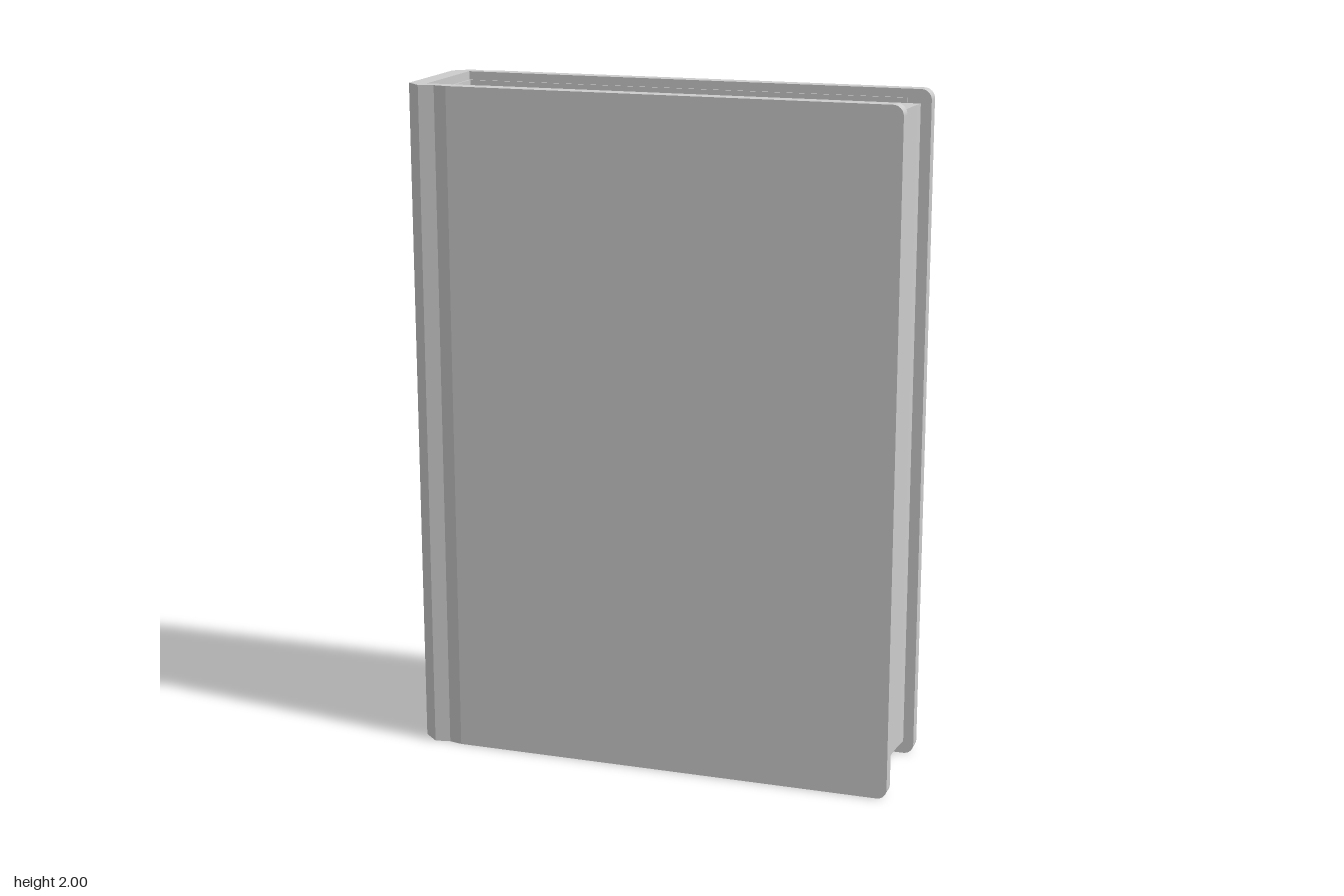
import * as THREE from 'three';

const coverGrey = new THREE.MeshStandardMaterial({ color: 0xcccccc });
coverGrey.name = 'plainGrey';

// Extrudes an outline drawn in the x-z plane upward from y0 to y1
function upright(name, shape, y0, y1) {
  const geo = new THREE.ExtrudeGeometry(shape, { depth: y1 - y0, bevelEnabled: false, curveSegments: 10 });
  geo.rotateX(-Math.PI / 2);
  geo.translate(0, y0, 0);
  const mesh = new THREE.Mesh(geo, coverGrey);
  mesh.name = name;
  return mesh;
}

// Closes a half profile by mirroring it in z
function mirrored(half) {
  const other = half.map(([x, z]) => [x, -z]).reverse();
  return new THREE.Shape([...half, ...other].map(([x, z]) => new THREE.Vector2(x, z)));
}

export function createModel() {
  const book = new THREE.Group();
  book.name = 'book';

  // Spine with chamfered edges and a shallow hinge groove on each side
  book.add(upright('spine', mirrored([
    [-0.675, 0.155], [-0.60, 0.155], [-0.60, 0.198], [-0.64, 0.189], [-0.685, 0.198], [-0.73, 0.158],
  ]), 0, 2));

  // Cover boards, rounded at the fore-edge corners
  const r = 0.03, right = 0.725, left = -0.60;
  const board = new THREE.Shape();
  board.moveTo(left, 0);
  board.lineTo(right - r, 0);
  board.absarc(right - r, r, r, -Math.PI / 2, 0, false);
  board.lineTo(right, 2 - r);
  board.absarc(right - r, 2 - r, r, 0, Math.PI / 2, false);
  board.lineTo(left, 2);
  board.closePath();
  const boardGeo = new THREE.ExtrudeGeometry(board, { depth: 0.043, bevelEnabled: false, curveSegments: 5 });
  for (const [name, z] of [['frontBoard', 0.155], ['backBoard', -0.198]]) {
    const mesh = new THREE.Mesh(boardGeo, coverGrey);
    mesh.name = name;
    mesh.position.z = z;
    book.add(mesh);
  }

  // Thin lining glued inside the boards and spine
  book.add(upright('lining', mirrored([
    [-0.67, 0.15], [0.655, 0.15], [0.655, 0.155], [-0.675, 0.155],
  ]), 0.025, 1.975));

  // Page block: rounded back, hollow fore-edge
  const pages = new THREE.Shape();
  pages.moveTo(-0.62, -0.15);
  pages.lineTo(0.695, -0.15);
  pages.quadraticCurveTo(0.672, 0, 0.695, 0.15);
  pages.lineTo(-0.62, 0.15);
  pages.bezierCurveTo(-0.642, 0.09, -0.642, -0.09, -0.62, -0.15);
  book.add(upright('pages', pages, 0.04, 1.96));

  // Backing between the page block and the spine
  book.add(upright('pageBacking', mirrored([[-0.67, 0.15], [-0.61, 0.15]]), 0.05, 1.95));

  return book;
}
